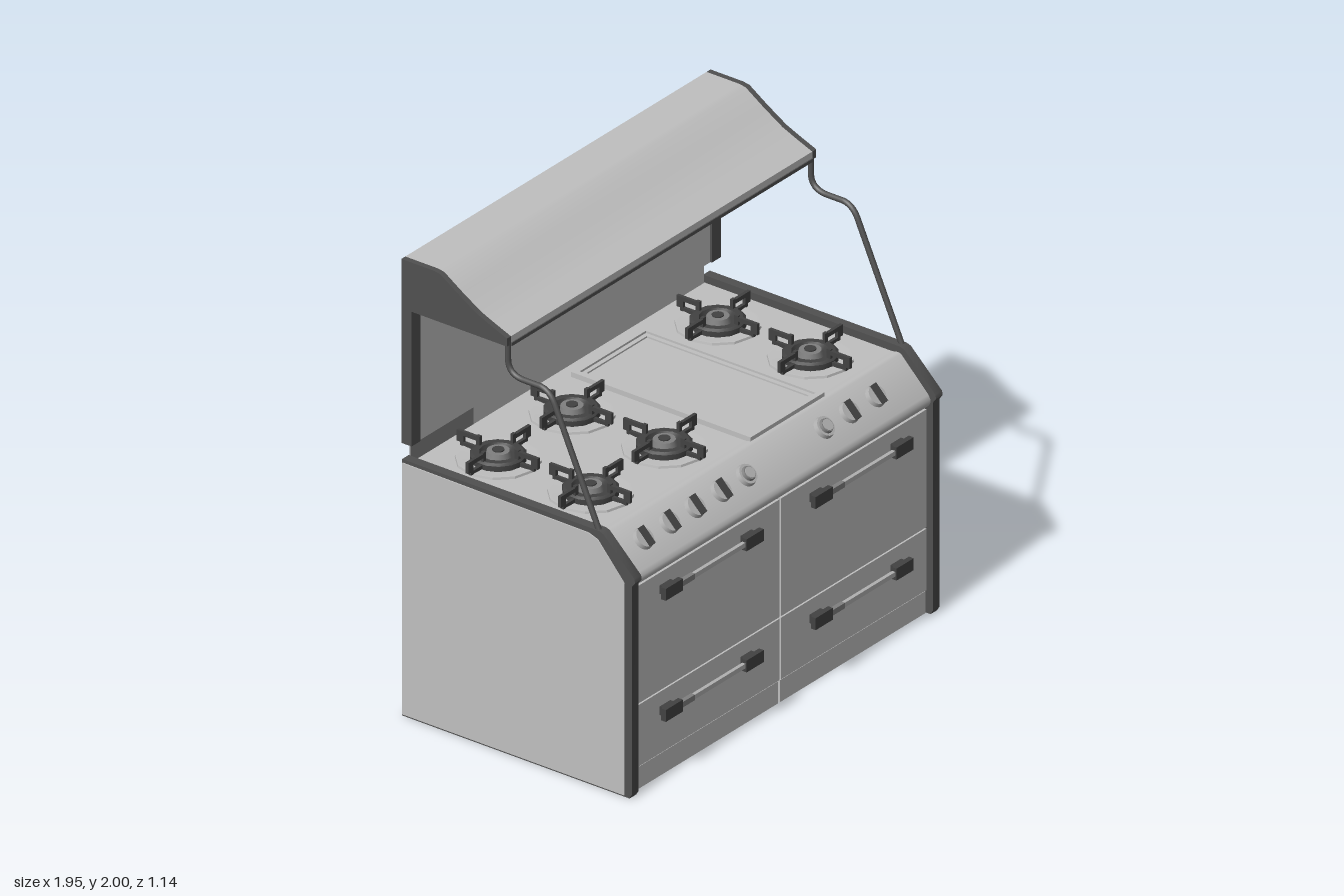
import * as THREE from 'three';
import { toCreasedNormals } from 'three/addons/utils/BufferGeometryUtils.js';

const mat = (name, color) => new THREE.MeshStandardMaterial({ name, color });

export function createModel() {
  const root = new THREE.Group();
  root.name = 'rangeCooker';
  const enamel = mat('enamel', 0xc0c0c0);
  const trim = mat('darkTrim', 0x505050);
  const iron = mat('castIron', 0x424242);
  const steel = mat('steel', 0xb0b0b0);
  const shade = mat('midGrey', 0x808080);

  const add = (name, geo, material, parent = root) => {
    const m = new THREE.Mesh(geo, material);
    m.name = name;
    parent.add(m);
    return m;
  };
  // Box given by its limits on each axis
  const box = (name, x0, x1, y0, y1, z0, z1, material, parent) => {
    const g = new THREE.BoxGeometry(x1 - x0, y1 - y0, z1 - z0);
    g.translate((x0 + x1) / 2, (y0 + y1) / 2, (z0 + z1) / 2);
    return add(name, g, material, parent);
  };
  // Profile of [z, y] points swept along x
  const sweep = (name, pts, x0, x1, material, crease = 0.6) => {
    const shape = new THREE.Shape(pts.map(([z, y]) => new THREE.Vector2(z, y)));
    const g = new THREE.ExtrudeGeometry(shape, { depth: x1 - x0, bevelEnabled: false });
    g.rotateY(-Math.PI / 2).translate(x1, 0, 0);
    return add(name, toCreasedNormals(g, crease), material);
  };
  const lathe = (pts, n) => new THREE.LatheGeometry(pts.map(([r, y]) => new THREE.Vector2(r, y)), n);

  // Cabinet with cooktop
  sweep('cabinet', [[-0.565, 0.005], [0.5, 0.005], [0.5, 0.92], [0.37, 1.09], [-0.565, 1.09]], -0.935, 0.935, enamel);
  box('seamBacking', -0.93, 0.93, 0.01, 0.9, 0.5, 0.505, trim);
  sweep('controlPanel', [[0.46, 0.897], [0.515, 0.897], [0.53, 0.91], [0.537, 0.925], [0.537, 0.94],
    [0.528, 0.957], [0.395, 1.092], [0.38, 1.096], [0.35, 1.09]], -0.93, 0.93, enamel);

  // Doors, drawers and kick plates
  for (const [x0, x1] of [[-0.924, -0.005], [0.005, 0.924]]) {
    box('ovenDoor', x0, x1, 0.378, 0.893, 0.5, 0.522, enamel);
    box('drawerFront', x0, x1, 0.102, 0.371, 0.5, 0.522, enamel);
    box('kickPlate', x0, x1, 0, 0.096, 0.5, 0.517, enamel);
  }

  // Handles: two dark brackets, a short collar and a slim bar
  for (const y of [0.82, 0.29]) for (const x of [-0.78, 0.165]) {
    const h = new THREE.Group();
    h.name = 'handle';
    h.position.set(x, y, 0);
    root.add(h);
    for (const bx of [0, 0.51]) {
      box('handleBracket', bx, bx + 0.108, -0.026, 0.026, 0.545, 0.568, iron, h);
      box('handleMount', bx + 0.02, bx + 0.088, -0.018, 0.018, 0.52, 0.546, iron, h);
    }
    box('handleCollar', 0.107, 0.19, -0.012, 0.012, 0.544, 0.564, shade, h);
    box('handleBar', 0.189, 0.511, -0.01, 0.01, 0.546, 0.562, steel, h);
  }

  // Side frames with inset panels
  const frame = [[-0.57, 0], [0.538, 0], [0.55, 0.02], [0.55, 0.93], [0.565, 0.95], [0.562, 0.968],
    [0.41, 1.115], [0.39, 1.122], [-0.57, 1.122]];
  const inset = [[-0.566, 0.008], [0.515, 0.008], [0.515, 0.935], [0.385, 1.085], [0.34, 1.1], [-0.566, 1.108]];
  for (const s of [-1, 1]) {
    const span = (a, b) => (s > 0 ? [a, b] : [-b, -a]);
    sweep('sideFrame', frame, ...span(0.928, 0.97), trim, 0.8);
    sweep('sidePanel', inset, ...span(0.968, 0.975), enamel);

    // Bent support rod between side frame and hood
    const P = (y, z) => new THREE.Vector3(s * 0.955, y, z);
    const path = new THREE.CurvePath();
    path.add(new THREE.LineCurve3(P(1.1, 0.385), P(1.59, 0.165)));
    path.add(new THREE.QuadraticBezierCurve3(P(1.59, 0.165), P(1.65, 0.14), P(1.652, 0.09)));
    path.add(new THREE.LineCurve3(P(1.652, 0.09), P(1.652, 0.01)));
    path.add(new THREE.QuadraticBezierCurve3(P(1.652, 0.01), P(1.655, -0.065), P(1.72, -0.065)));
    path.add(new THREE.LineCurve3(P(1.72, -0.065), P(1.8, -0.065)));
    add('supportRod', new THREE.TubeGeometry(path, 60, 0.012, 8), trim);
  }

  // Hood canopy, its end caps, and the back wall
  const slope = [[-0.57, 2], [-0.41, 2], [-0.38, 1.995], [-0.29, 1.935], [-0.2, 1.88], [-0.13, 1.85], [-0.055, 1.82]];
  const hood = [...slope, [-0.055, 1.785], [-0.53, 1.785], [-0.57, 1.785]].reverse();
  const cap = [...slope, [-0.055, 1.785], [-0.52, 1.785], [-0.52, 1.195], [-0.57, 1.195]].reverse();
  sweep('hoodCanopy', hood, -0.95, 0.95, enamel);
  box('hoodLip', -0.95, 0.95, 1.778, 1.792, -0.07, -0.05, trim);
  box('backWall', -0.94, 0.94, 1.192, 1.79, -0.57, -0.53, enamel);
  sweep('hoodEndLeft', cap, 0.95, 0.975, trim);
  sweep('hoodEndRight', cap, -0.975, -0.95, trim);
  for (const s of [-1, 1]) box('wallCorner', s * 0.935 - 0.016, s * 0.935 + 0.016, 1.195, 1.785, -0.568, -0.52, trim);

  // Low strip behind the cooktop
  box('backStrip', -0.53, 0.925, 1.085, 1.187, -0.568, -0.562, enamel);
  box('flueVent', -0.925, -0.53, 1.085, 1.193, -0.568, -0.562, shade);

  // Griddle: raised rim, inner step and sunken plate
  const rim = (name, x0, x1, z0, z1, w, y) => {
    const s = new THREE.Shape([[x0, -z1], [x1, -z1], [x1, -z0], [x0, -z0]].map((p) => new THREE.Vector2(...p)));
    s.holes.push(new THREE.Path([[x0 + w, -z1 + w], [x0 + w, -z0 - w], [x1 - w, -z0 - w], [x1 - w, -z1 + w]]
      .map((p) => new THREE.Vector2(...p))));
    const g = new THREE.ExtrudeGeometry(s, { depth: y - 1.085, bevelEnabled: false });
    add(name, g.rotateX(-Math.PI / 2).translate(0, 1.085, 0), enamel);
  };
  rim('griddleRim', 0.005, 0.47, -0.5, 0.375, 0.024, 1.112);
  rim('griddleStep', 0.028, 0.447, -0.477, 0.352, 0.02, 1.103);
  box('griddlePlate', 0.045, 0.43, 1.085, 1.096, -0.46, 0.335, enamel);

  // Burners with drip bowl, ring, cap and four grate arms
  const bowl = lathe([[0.17, 1.088], [0.168, 1.1], [0.155, 1.1], [0.1, 1.094], [0.0, 1.094]].reverse(), 12);
  const ring = lathe([[0.112, 1.094], [0.112, 1.118], [0.1, 1.126], [0.075, 1.126], [0.065, 1.106], [0, 1.106]].reverse(), 14);
  for (const g of [bowl, ring]) { // turn faces upward
    const idx = g.index.array;
    for (let i = 0; i < idx.length; i += 3) [idx[i], idx[i + 1]] = [idx[i + 1], idx[i]];
    g.computeVertexNormals();
  }
  const bowlMat = enamel.clone();
  bowlMat.name = 'dripBowl';
  bowlMat.side = ring.side = THREE.DoubleSide;
  const ringMat = iron.clone();
  ringMat.name = 'burnerIron';
  ringMat.side = THREE.DoubleSide;
  for (const x of [-0.7, -0.235, 0.685]) for (const z of [0.14, -0.31]) {
    const b = new THREE.Group();
    b.name = 'burner';
    b.position.set(x, 0, z);
    root.add(b);
    add('dripBowl', toCreasedNormals(bowl, 0.4), bowlMat, b);
    add('burnerRing', toCreasedNormals(ring, 0.5), ringMat, b);
    add('burnerCap', new THREE.CylinderGeometry(0.045, 0.052, 0.03, 14).translate(0, 1.118, 0), shade, b);
    add('burnerCentre', new THREE.CylinderGeometry(0.024, 0.024, 0.006, 12).translate(0, 1.135, 0), iron, b);
    for (let k = 0; k < 4; k++) {
      const arm = new THREE.Group();
      arm.name = 'grateArm';
      arm.rotation.y = k * Math.PI / 2;
      b.add(arm);
      box('armTop', 0.085, 0.197, 1.142, 1.16, -0.007, 0.007, iron, arm);
      box('armPost', 0.165, 0.197, 1.112, 1.145, -0.007, 0.007, iron, arm);
      box('armFoot', 0.1, 0.18, 1.098, 1.114, -0.007, 0.007, iron, arm);
      box('armTip', 0.085, 0.103, 1.125, 1.165, -0.007, 0.007, iron, arm);
    }
  }

  // Knobs on the sloping panel; the two inner ones are plain dials
  const knobs = [-0.78, -0.615, -0.455, -0.29, -0.13, 0.36, 0.52, 0.685];
  for (const x of knobs) {
    const k = new THREE.Group();
    k.name = 'knob';
    k.position.set(x, 1.031, 0.457);
    k.rotation.x = Math.PI / 4;
    root.add(k);
    add('knobSkirt', new THREE.CylinderGeometry(0.042, 0.047, 0.018, 20).translate(0, 0.007, 0), steel, k);
    if (x === -0.13 || x === 0.36) {
      add('dialRim', new THREE.CylinderGeometry(0.028, 0.032, 0.012, 16).translate(0, 0.021, 0), shade, k);
      add('dialFace', new THREE.CylinderGeometry(0.024, 0.024, 0.008, 16).translate(0, 0.026, 0), steel, k);
    } else {
      box('knobGrip', -0.01, 0.01, 0.01, 0.036, -0.042, 0.042, iron, k);
    }
  }
  return root;
}
